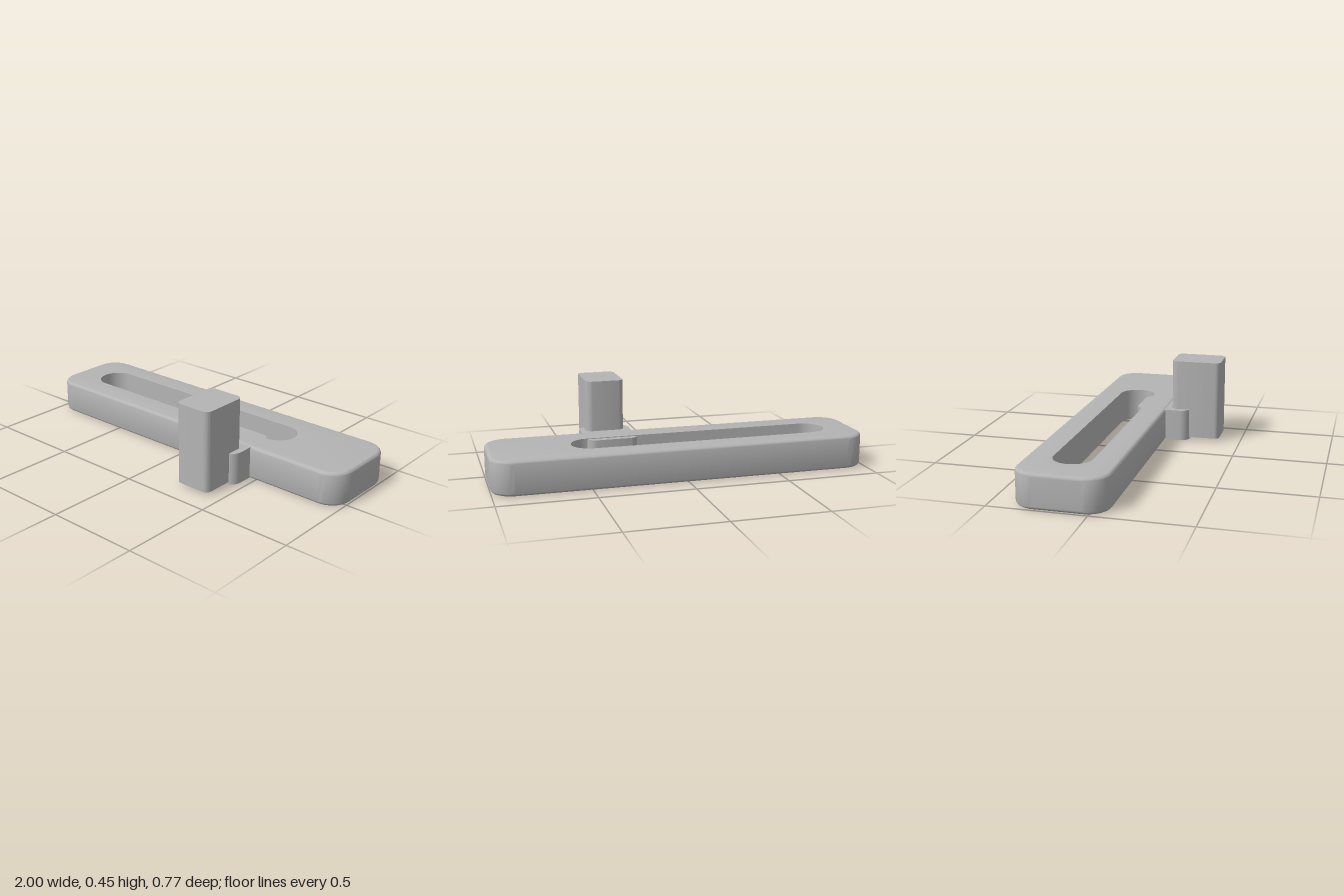
import * as THREE from 'three';
import { mergeGeometries, toCreasedNormals } from 'three/addons/utils/BufferGeometryUtils.js';

// Counter-clockwise rounded rectangle; the second coordinate is -z.
function roundedLoop(x0, x1, z0, z1, r, n = 12) {
  const corners = [[x1 - r, -z0 - r], [x0 + r, -z0 - r], [x0 + r, -z1 + r], [x1 - r, -z1 + r]];
  const pts = [];
  corners.forEach(([cx, cy], q) => {
    for (let i = 0; i <= n; i++) {
      const a = (q + i / n) * Math.PI / 2;
      pts.push(new THREE.Vector2(cx + r * Math.cos(a), cy + r * Math.sin(a)));
    }
  });
  return pts;
}

// Wall joining stacked loops, each { pts, y }, from bottom to top.
function wall(loops) {
  const pos = [], idx = [], n = loops[0].pts.length;
  loops.forEach(({ pts, y }) => pts.forEach((p) => pos.push(p.x, y, -p.y)));
  for (let k = 0; k < loops.length - 1; k++) {
    for (let i = 0; i < n; i++) {
      const a = k * n + i, b = k * n + (i + 1) % n;
      idx.push(a, b, b + n, a, b + n, a + n);
    }
  }
  const g = new THREE.BufferGeometry();
  g.setAttribute('position', new THREE.Float32BufferAttribute(pos, 3));
  g.setIndex(idx);
  return g;
}

// Flat cap with optional hole, facing up or down.
function cap(pts, y, up, hole) {
  const shape = new THREE.Shape(pts);
  if (hole) shape.holes.push(new THREE.Path(hole));
  const g = new THREE.ShapeGeometry(shape).rotateX(-Math.PI / 2).translate(0, y, 0);
  g.deleteAttribute('uv');
  g.deleteAttribute('normal');
  if (!up) g.setIndex(Array.from(g.index.array).reverse());
  return g;
}

const finish = (parts) => toCreasedNormals(mergeGeometries(parts), 0.5);

// Upright block with rounded vertical edges.
function block(x0, x1, y0, y1, z0, z1, r) {
  const pts = roundedLoop(x0, x1, z0, z1, r, 8);
  return finish([wall([{ pts, y: y0 }, { pts, y: y1 }]), cap(pts, y0, false), cap(pts, y1, true)]);
}

// Bar with filleted outer rims and a sharp-edged slot through it.
function slottedBar() {
  const h = 0.181, f = 0.02, steps = 6;
  const ring = (inset, y) => ({
    pts: roundedLoop(-1 + inset, 1 - inset, -0.383 + inset, 0.086 - inset, 0.115 - inset), y,
  });
  const loops = [];
  for (let i = 0; i <= steps; i++) {
    const a = i / steps * Math.PI / 2;
    loops.push(ring(f * (1 - Math.sin(a)), f * (1 - Math.cos(a))));
  }
  for (let i = steps; i >= 0; i--) loops.push({ pts: loops[i].pts, y: h - loops[i].y });
  const slot = roundedLoop(-0.837, 0.568, -0.251, -0.05, 0.1).reverse();
  return finish([
    wall(loops),
    wall([{ pts: slot, y: 0 }, { pts: slot, y: h }]),
    cap(loops[0].pts, 0, false, slot),
    cap(loops[0].pts, h, true, slot),
  ]);
}

export function createModel() {
  const group = new THREE.Group();
  const grey = new THREE.MeshStandardMaterial({ color: 0xb4b4b4 });
  grey.name = 'grey';
  const add = (name, geometry) => {
    const mesh = new THREE.Mesh(geometry, grey);
    mesh.name = name;
    group.add(mesh);
  };
  add('slottedBar', slottedBar());
  // Slider passes through the front rail into the slot
  add('slider', block(0.19, 0.465, 0.005, 0.177, -0.086, 0.216, 0.05));
  // Upright handle on the front of the slider
  add('handle', block(0.225, 0.43, 0.017, 0.452, 0.112, 0.383, 0.032));
  return group;
}
